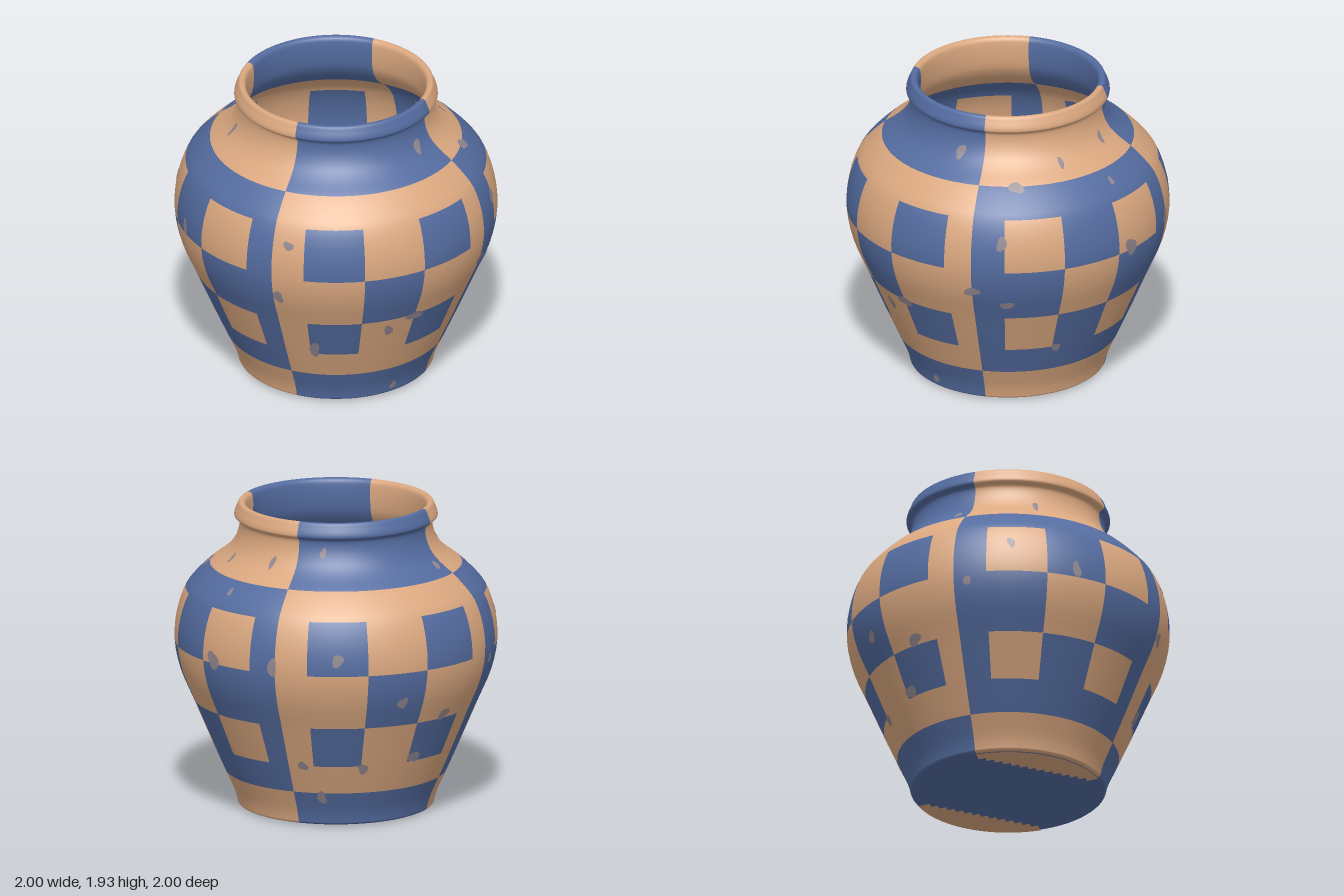
import * as THREE from 'three';

const clay = new THREE.MeshStandardMaterial({ color: 0xdba880 });
const glaze = new THREE.MeshStandardMaterial({ color: 0x546ca0 });
const worn = new THREE.MeshStandardMaterial({ color: 0x92878f, side: THREE.DoubleSide });
clay.name = 'orange clay';
glaze.name = 'blue glaze';
worn.name = 'worn grey';

const FLOOR = 0.05;

// Outer wall, foot to rim: [radius, height]
const outer = [
  [0.585, 0.008], [0.604, 0.018], [0.61, 0.04], [0.628, 0.1], [0.686, 0.23], [0.77, 0.42], [0.885, 0.69],
  [0.965, 0.88], [0.998, 1.05], [0.985, 1.22], [0.93, 1.38], [0.865, 1.46], [0.78, 1.54], [0.7, 1.6],
  [0.642, 1.66], [0.608, 1.73], [0.597, 1.79], [0.602, 1.818], [0.628, 1.838], [0.628, 1.86],
  [0.612, 1.9], [0.6, 1.925],
];
// Rounded lip and inner wall, rim to floor
const inner = [
  [0.585, 1.93], [0.565, 1.92], [0.556, 1.895], [0.556, 1.79], [0.575, 1.7], [0.65, 1.6], [0.73, 1.54],
  [0.885, 1.38], [0.955, 1.05], [0.84, 0.69], [0.73, 0.42], [0.645, 0.23], [0.575, 0.09], [0.555, 0.06],
];

function smooth(points) {
  const curve = new THREE.CatmullRomCurve3(points.map(([r, y]) => new THREE.Vector3(r, y, 0)));
  return curve.getPoints((points.length - 1) * 3).map((p) => new THREE.Vector2(p.x, p.y));
}

// Painted pattern: a framed checker in each quarter, colours swapped between neighbours.
// Returns 0 for clay, 1 for glaze.
const rows = [0.42, 0.69, 1.05, 1.38];
const columns = [-33, -11, 12, 35];
function paint(degrees, y) {
  const turned = (degrees + 45 + 360) % 360;
  const quarter = Math.floor(turned / 90);
  const a = (turned % 90) - 45;
  const column = columns.filter((c) => a > c).length;
  const row = rows.filter((h) => y > h).length;
  let blue = y > 1.54 || y < 0.23;
  if (column % 4 && row % 4) blue = (column + row) % 2 === 0;
  return Number(blue) ^ (quarter % 2);
}

// Revolved wall whose faces are sorted into the two colours
function paintedWall() {
  const profile = smooth([...outer, ...inner]);
  const segments = 360;
  const geo = new THREE.LatheGeometry(profile, segments);
  const old = geo.index.array;
  const faces = [[], []];
  const perSegment = (profile.length - 1) * 6;
  for (let i = 0; i < old.length; i += 6) {
    const segment = Math.floor(i / perSegment);
    const j = (i % perSegment) / 6;
    const y = (profile[j].y + profile[j + 1].y) / 2;
    faces[paint(segment + 0.5, y)].push(...old.slice(i, i + 6));
  }
  geo.setIndex([...faces[0], ...faces[1]]);
  geo.addGroup(0, faces[0].length, 0);
  geo.addGroup(faces[0].length, faces[1].length, 1);
  return geo;
}

// Orange segment with a toothed inner edge, for the floor and underside
function toothedSegment(radius) {
  const shape = new THREE.Shape();
  const teeth = 26;
  for (let i = 0; i <= teeth; i++) {
    const z = 0.37 - (0.74 * i) / teeth;
    const x = i % 2 ? 0.395 : 0.36;
    if (i) shape.lineTo(x, z);
    else shape.moveTo(x, z);
  }
  shape.absarc(0, 0, radius, -Math.PI / 4, Math.PI / 4, false);
  return new THREE.ShapeGeometry(shape, 24);
}

// Outer radius at a height
const wallPoints = smooth(outer);
function radiusAt(y) {
  const k = Math.max(1, wallPoints.findIndex((p) => p.y >= y));
  const a = wallPoints[k - 1], b = wallPoints[k];
  return THREE.MathUtils.lerp(a.x, b.x, THREE.MathUtils.clamp((y - a.y) / (b.y - a.y), 0, 1));
}

// Irregular worn spot that follows the wall
function wornSpot(degrees, y, w, h, seed) {
  const geo = new THREE.CircleGeometry(1, 14);
  const pos = geo.attributes.position;
  const centre = THREE.MathUtils.degToRad(degrees);
  for (let i = 0; i < pos.count; i++) {
    const t = Math.atan2(pos.getY(i), pos.getX(i));
    const wobble = 1 + 0.18 * Math.sin(2 * t + seed) + 0.12 * Math.sin(3 * t + seed * 2.3);
    const py = y + pos.getY(i) * h * wobble;
    const r = radiusAt(py);
    const a = centre + (pos.getX(i) * w * wobble) / r;
    pos.setXYZ(i, (r + 0.004) * Math.sin(a), py, (r + 0.004) * Math.cos(a));
  }
  geo.computeVertexNormals();
  return geo;
}

export function createModel() {
  const group = new THREE.Group();
  group.name = 'checkered pot';
  function add(name, geo, material, parent = group) {
    const mesh = new THREE.Mesh(geo, material);
    mesh.name = name;
    parent.add(mesh);
    return mesh;
  }

  add('paintedWall', paintedWall(), [clay, glaze]);

  // Floor inside and underside, each with two orange segments
  for (const [name, y, radius, side] of [['floor', FLOOR, 0.57, 1], ['underside', 0.006, 0.59, -1]]) {
    const part = new THREE.Group();
    part.name = name;
    part.position.y = y;
    part.rotation.x = (-side * Math.PI) / 2;
    add(name + 'Disc', new THREE.CircleGeometry(radius, 96), glaze, part);
    for (const turn of [0, Math.PI]) {
      const segment = add(name + 'OrangeSegment', toothedSegment(radius), clay, part);
      segment.rotation.z = turn;
      segment.position.z = 0.005;
    }
    group.add(part);
  }

  // Worn spots on the wall: [degrees from the front, height, half width, half height]
  const spots = [
    [31, 1.68, 0.03, 0.04], [12, 0.68, 0.055, 0.035], [1, 0.6, 0.03, 0.04], [-31, 0.46, 0.035, 0.055],
    [13, 0.07, 0.022, 0.03], [-39, 1.27, 0.03, 0.03], [-43, 0.9, 0.035, 0.04], [56, 1.24, 0.035, 0.04],
    [58, 0.8, 0.04, 0.03], [62, 1.535, 0.045, 0.025], [87, 1.62, 0.02, 0.025], [120, 1.66, 0.02, 0.035],
    [107, 1.48, 0.014, 0.025], [108, 1.07, 0.05, 0.055], [134, 1.09, 0.035, 0.05], [45, 0.9, 0.05, 0.03],
    [81, 0.41, 0.025, 0.035], [150, 0.2, 0.03, 0.04], [158, 1.15, 0.04, 0.035], [183, 0.85, 0.03, 0.04],
    [142, 0.42, 0.03, 0.03], [170, 0.4, 0.035, 0.03], [150, 1.74, 0.02, 0.03], [219, 1.6, 0.022, 0.025],
    [246, 1.25, 0.025, 0.035], [230, 1.0, 0.03, 0.025], [205, 0.72, 0.045, 0.035], [195, 0.45, 0.04, 0.04],
    [270, 1.1, 0.03, 0.05], [260, 1.66, 0.02, 0.035],
  ];
  spots.forEach((s, i) => add('wornSpot', wornSpot(...s, i * 1.7), worn));

  // Worn spots on the floor: [x, z, half width, half depth]
  for (const [x, z, w, d] of [[0.25, 0.26, 0.07, 0.025], [-0.14, 0.28, 0.03, 0.02], [0.08, 0.28, 0.03, 0.02], [0.16, -0.39, 0.025, 0.03]]) {
    const spot = add('floorWornSpot', new THREE.CircleGeometry(1, 12), worn);
    spot.rotation.x = -Math.PI / 2;
    spot.scale.set(w, d, 1);
    spot.position.set(x, FLOOR + 0.004, z);
  }
  return group;
}
